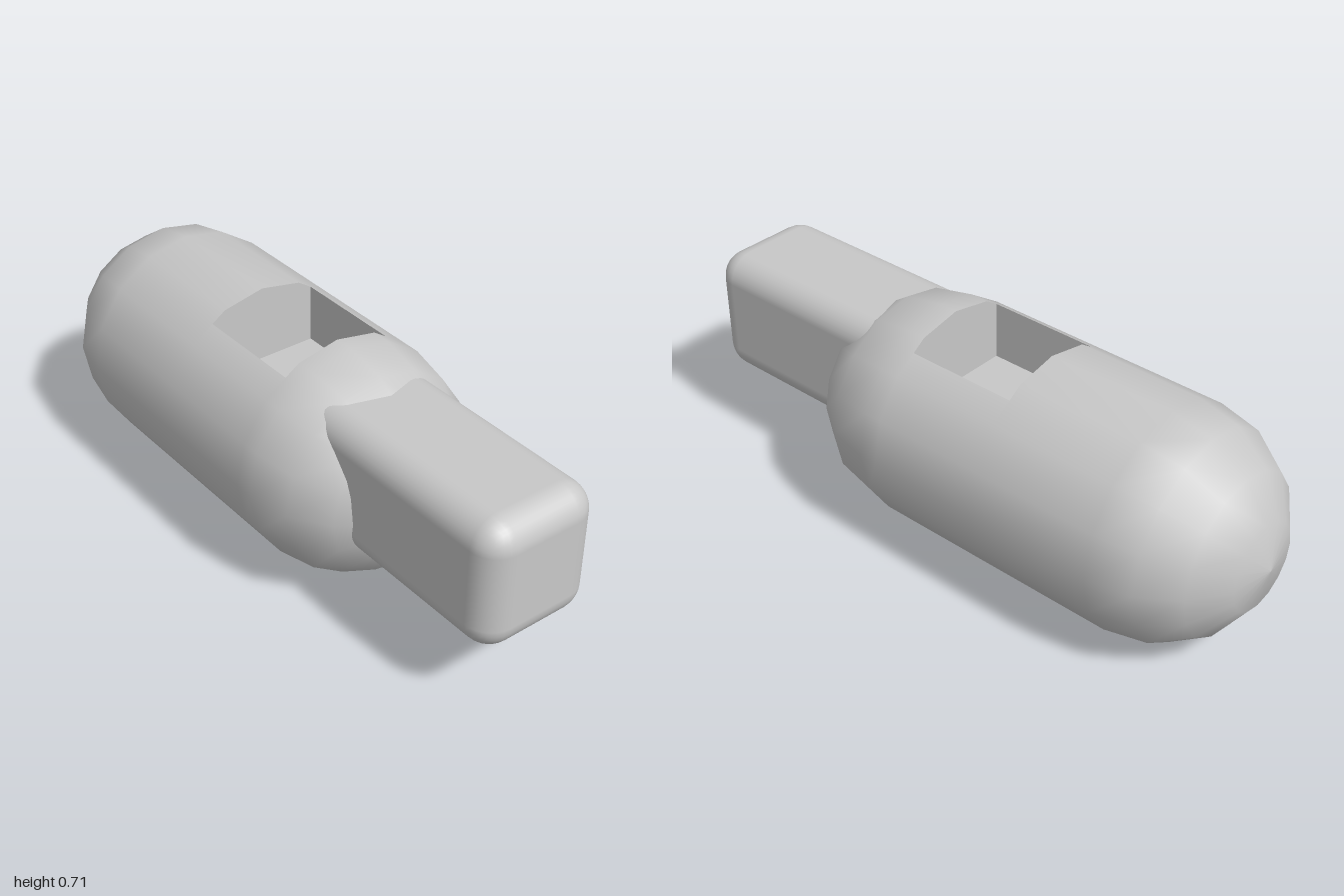
import * as THREE from 'three';
import { RoundedBoxGeometry } from 'three/addons/geometries/RoundedBoxGeometry.js';

const R = 0.353, SIDES = 16, STEP = (Math.PI * 2) / SIDES;
const CAP_L = -0.647, CAP_R = 0.18;             // centres of the round ends
const N0 = -0.24, N1 = 0.12, NZ = 0.18, FLOOR = 0.465; // notch limits

export function createModel() {
  const group = new THREE.Group();
  const grey = new THREE.MeshStandardMaterial({ color: 0xc8c8c8 });
  grey.name = 'grey';

  const add = (name, geometry, x = 0, y = 0, z = 0) => {
    const mesh = new THREE.Mesh(geometry, grey);
    mesh.name = name;
    mesh.position.set(x, y, z);
    group.add(mesh);
    return mesh;
  };

  // Domed halves of the capsule, turned about the x axis
  const dome = (centre, sign, inner) => {
    const pts = [new THREE.Vector2(R, inner)];
    for (let i = 0; i <= 4; i++) {
      const a = i * STEP;
      pts.push(new THREE.Vector2(i === 4 ? 0 : R * Math.cos(a), centre + sign * R * Math.sin(a)));
    }
    if (sign < 0) pts.reverse();
    return new THREE.LatheGeometry(pts, SIDES).rotateZ(-Math.PI / 2);
  };
  add('bodyRightEnd', dome(CAP_L, -1, N0), 0, R, 0);
  add('bodyLeftEnd', dome(CAP_R, 1, N1), 0, R, 0);

  // Cross-section points (y, z); the notch rim lies on the second facet
  const at = (i) => [R + R * Math.cos(i * STEP), R * Math.sin(i * STEP)];
  const [ya, za] = at(1), [yb, zb] = at(2);
  const rimY = ya + ((yb - ya) * (NZ - za)) / (zb - za);

  // Middle shell, open at the top
  const section = [[rimY, NZ]];
  for (let i = 2; i <= SIDES - 2; i++) section.push(at(i));
  section.push([rimY, -NZ]);
  const pos = [], nor = [], idx = [];
  section.forEach(([y, z], i) => {
    const len = Math.hypot(y - R, z);
    for (const x of [N0, N1]) {
      pos.push(x, y, z);
      nor.push(0, (y - R) / len, z / len);
    }
    if (i > 0) {
      const a = 2 * (i - 1);
      idx.push(a, a + 2, a + 3, a, a + 3, a + 1);
    }
  });
  const shell = new THREE.BufferGeometry();
  shell.setAttribute('position', new THREE.Float32BufferAttribute(pos, 3));
  shell.setAttribute('normal', new THREE.Float32BufferAttribute(nor, 3));
  shell.setIndex(idx);
  add('bodyMiddle', shell);

  // Notch floor and walls, facing inwards
  const length = N1 - N0, mid = (N0 + N1) / 2, depth = rimY - FLOOR;
  add('notchFloor', new THREE.PlaneGeometry(length, 2 * NZ).rotateX(-Math.PI / 2), mid, FLOOR, 0);
  const outline = new THREE.Shape(
    [[-NZ, FLOOR], [NZ, FLOOR], [NZ, rimY], [za, ya], [0, 2 * R], [-za, ya], [-NZ, rimY]]
      .map(([x, y]) => new THREE.Vector2(x, y))
  );
  for (const s of [-1, 1]) {
    add('notchSideWall', new THREE.PlaneGeometry(length, depth).rotateY(s > 0 ? Math.PI : 0),
      mid, FLOOR + depth / 2, s * NZ);
    add('notchEndWall', new THREE.ShapeGeometry(outline).rotateY((-s * Math.PI) / 2), s > 0 ? N1 : N0);
  }

  // Rounded block standing out of the left end
  add('endBlock', new RoundedBoxGeometry(0.8, 0.41, 0.38, 4, 0.085), 0.6, 0.442, 0.015);

  return group;
}
